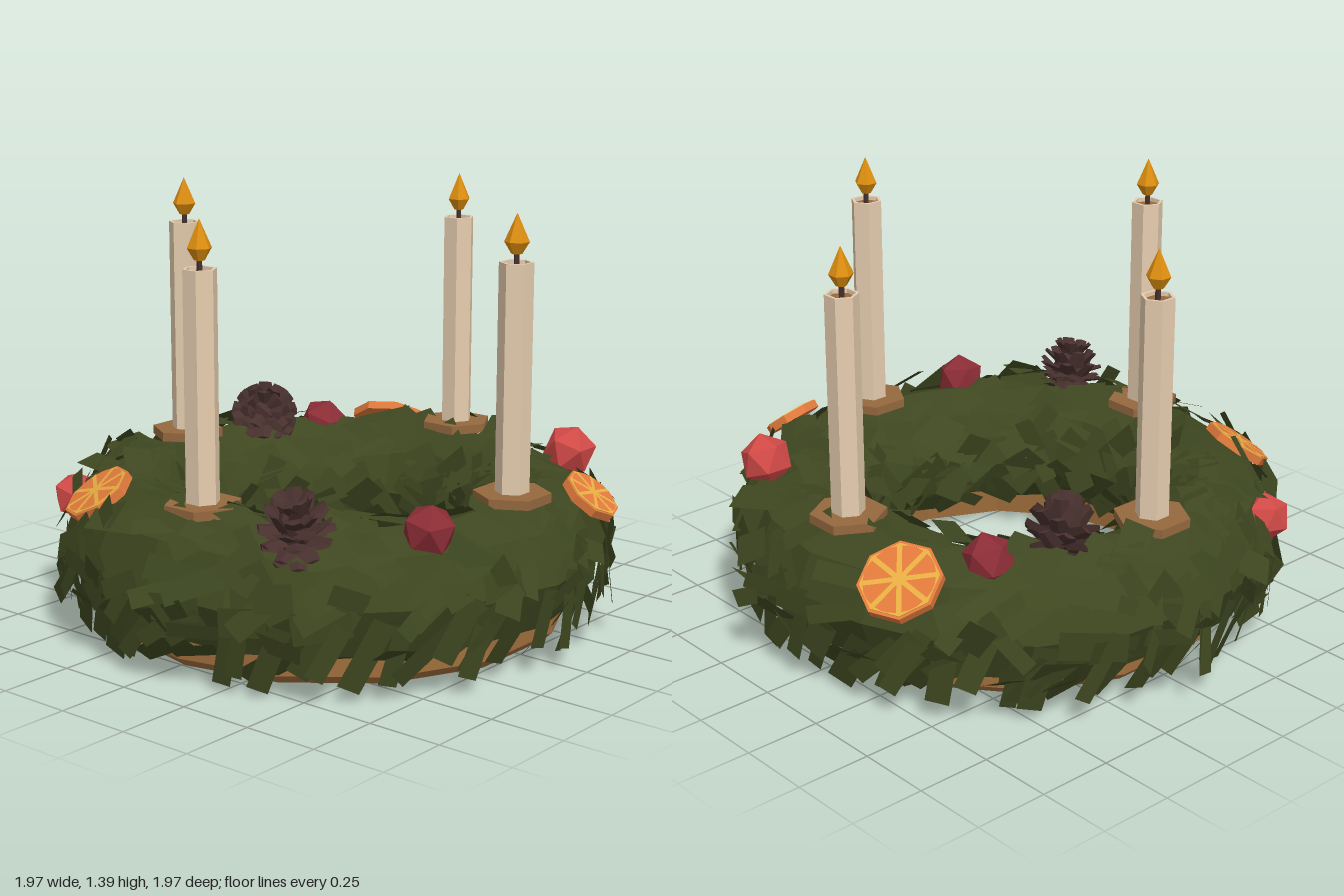
import * as THREE from 'three';
import { mergeGeometries } from 'three/addons/utils/BufferGeometryUtils.js';

const mat = (name, color, side = THREE.FrontSide) =>
  new THREE.MeshStandardMaterial({ name, color, side, flatShading: true });

const RING = { x: 0.015, y: 0.265, z: 0.025, R: 0.68, r: 0.212 };
const UP = new THREE.Vector3(0, 1, 0);

// Placement of the decorations
const CANDLES = [[0.70, -0.01], [0.045, 0.69], [-0.65, 0.03], [0.0, -0.66]];
const BRIGHT_BERRIES = [[0.52, 0.495, -0.6, 0.09], [-0.697, 0.36, 0.518, 0.082]];
const DARK_BERRIES = [[-0.47, 0.455, -0.49, 0.09], [0.683, 0.472, 0.39, 0.087]];
const SLICES = [
  { pos: [-0.372, 0.435, -0.755], normal: [-0.26, 0.8, -0.52], r: 0.135 },
  { pos: [-0.385, 0.462, 0.715], normal: [-0.25, 0.83, 0.5], r: 0.118 },
  { pos: [0.82, 0.46, -0.27], normal: [0.58, 0.78, -0.15], r: 0.1 },
];
const PINE_CONES = [
  { pos: [-0.55, 0.515, -0.26], axis: [0.5, 0.35, 0.6] },
  { pos: [0.425, 0.5, 0.695], axis: [0.1, 1, 0.25] },
];

// Small seeded random generator
function seeded(seed) {
  return () => {
    seed = (seed * 16807) % 2147483647;
    return seed / 2147483647;
  };
}

export function createModel() {
  const model = new THREE.Group();
  model.name = 'candleWreath';

  const green = mat('fir green', 0x3e4720, THREE.DoubleSide);
  const baseWood = mat('base wood', 0xa06e3c);
  const wood = mat('plate wood', 0x95683f);
  const wax = mat('candle wax', 0xe6cdaf);
  const flameGold = mat('flame', 0xdf8f10);
  const brightRed = mat('bright berry red', 0xd24a47);
  const darkRed = mat('dark berry red', 0x8c2d36);
  const coneBrown = mat('pine cone brown', 0x47302d, THREE.DoubleSide);
  const orange = mat('orange peel', 0xe27a3c);
  const pith = mat('orange pith', 0xeab043);

  const add = (parent, name, geometry, material) => {
    const mesh = new THREE.Mesh(geometry, material);
    mesh.name = name;
    parent.add(mesh);
    return mesh;
  };
  const lathe = (pts, sides) =>
    new THREE.LatheGeometry(pts.map(([x, y]) => new THREE.Vector2(x, y)), sides);

  // Wooden base ring
  const base = add(model, 'baseRing', lathe([
    [0.59, 0], [0.735, 0], [0.765, 0.03], [0.765, 0.13], [0.58, 0.13], [0.59, 0],
  ], 14), baseWood);
  base.position.set(0.03, 0, 0.03);

  // Faceted core of the wreath
  const core = new THREE.TorusGeometry(RING.R, RING.r, 8, 20);
  core.rotateX(Math.PI / 2);
  const p = core.attributes.position;
  for (let i = 0; i < p.count; i++) {
    const x = p.getX(i), y = p.getY(i), z = p.getZ(i);
    p.setY(i, y + 0.008 * Math.sin(13 * x + 9 * z));
  }
  add(model, 'wreathCore', core, green).position.set(RING.x, RING.y, RING.z);

  // Spots on the wreath that leaves must not cover: position and radius
  const keepClear = [
    ...CANDLES.map(([x, z]) => [new THREE.Vector3(x, 0.5, z), 0.14]),
    ...[...BRIGHT_BERRIES, ...DARK_BERRIES].map(([x, y, z]) => [new THREE.Vector3(x, y, z), 0.13]),
    ...SLICES.map(({ pos, r }) => [new THREE.Vector3(...pos), r + 0.04]),
    ...PINE_CONES.map(({ pos }) => [new THREE.Vector3(...pos), 0.13]),
  ];

  // Fir leaves: flat slips laid over the ring (u around the ring, v around the tube)
  const rand = seeded(4217);
  const leaves = [];
  function addLeaf(u, v, turn, lift, length, width) {
    const out = new THREE.Vector3(Math.cos(u), 0, Math.sin(u));
    const n = out.clone().multiplyScalar(Math.cos(v)).addScaledVector(UP, Math.sin(v));
    const t = new THREE.Vector3(-Math.sin(u), 0, Math.cos(u));
    const b = new THREE.Vector3().crossVectors(n, t);
    const d = t.multiplyScalar(Math.cos(turn)).addScaledVector(b, Math.sin(turn))
      .addScaledVector(n, lift).normalize();
    const side = new THREE.Vector3().crossVectors(d, n).normalize();
    const face = new THREE.Vector3().crossVectors(side, d);
    const pos = out.clone().multiplyScalar(RING.R).addScaledVector(n, RING.r + 0.01);
    pos.add(new THREE.Vector3(RING.x, RING.y, RING.z));
    const middle = pos.clone().addScaledVector(d, length * 0.25);
    if (keepClear.some(([c, r]) => c.distanceTo(middle) < r)) return;
    const g = new THREE.PlaneGeometry(width, length).translate(0, length * 0.25, 0);
    leaves.push(g.applyMatrix4(new THREE.Matrix4().makeBasis(side, d, face).setPosition(pos)));
  }
  const count = 560;
  for (let i = 0; i < count; i++) {
    const u = (i / count) * Math.PI * 2 + rand() * 0.1;
    const v = -0.9 + rand() * (Math.PI + 1.6);
    const turn = (rand() - 0.5) * 2.2 + (rand() < 0.25 ? Math.PI : 0);
    addLeaf(u, v, turn, rand() * 0.26, 0.13 + rand() * 0.09, 0.05 + rand() * 0.055);
  }
  // Leaves hanging down round the outside
  for (let i = 0; i < 56; i++) {
    addLeaf((i / 56) * Math.PI * 2 + rand() * 0.1, -0.5 + rand() * 0.4, 0.6 + rand() * 0.9,
      0.1 + rand() * 0.22, 0.17 + rand() * 0.08, 0.05 + rand() * 0.04);
  }
  // A few sprigs that stick out: angle round the ring, tube angle, turn, length
  [
    [3.14, -0.2, 0.3, 0.23], [3.35, -0.1, 0.5, 0.18], [2.9, 0, -0.3, 0.16],
    [4.71, 0.1, -0.3, 0.21], [4.9, -0.2, 0.3, 0.16], [0.2, 0.3, 0.4, 0.15],
    [6.1, -0.3, 0.2, 0.13], [1.5, 0.1, 0.4, 0.12], [0.8, 0.2, -0.4, 0.17],
  ].forEach(([u, v, turn, length]) => addLeaf(u, v, turn, 0.9, length, 0.06));
  add(model, 'firLeaves', mergeGeometries(leaves), green);

  // Candles on hexagonal wooden plates
  CANDLES.forEach(([x, z], i) => {
    const candle = new THREE.Group();
    candle.name = 'candle' + (i + 1);
    candle.position.set(x, 0, z);
    candle.rotation.y = i % 2 ? Math.PI / 2 : 0;
    add(candle, 'candlePlate', new THREE.CylinderGeometry(0.123, 0.123, 0.03, 6), wood)
      .position.y = 0.495;
    add(candle, 'candleBody', lathe([
      [0.054, 0.5], [0.054, 1.23], [0.044, 1.23], [0.044, 1.21],
    ], 6), wax);
    add(candle, 'candleTop', new THREE.CylinderGeometry(0.045, 0.045, 0.006, 6), wood)
      .position.y = 1.214;
    add(candle, 'wick', new THREE.CylinderGeometry(0.009, 0.009, 0.06, 5), coneBrown)
      .position.y = 1.24;
    add(candle, 'flame', lathe([[0, 1.252], [0.017, 1.255], [0.039, 1.292], [0, 1.38]], 6), flameGold);
    model.add(candle);
  });

  // Berries in two reds
  const addBerry = (name, material) => ([x, y, z, r], i) => {
    const berry = add(model, name + (i + 1), new THREE.IcosahedronGeometry(r, 0), material);
    berry.position.set(x, y, z);
    berry.rotation.set(0.4 * i, 0.9 * i, 0.2);
  };
  BRIGHT_BERRIES.forEach(addBerry('brightBerry', brightRed));
  DARK_BERRIES.forEach(addBerry('darkBerry', darkRed));

  // Orange slices with wedges
  SLICES.forEach(({ pos, normal, r }, i) => {
    const slice = new THREE.Group();
    slice.name = 'orangeSlice' + (i + 1);
    slice.position.set(...pos);
    slice.quaternion.setFromUnitVectors(UP, new THREE.Vector3(...normal).normalize());
    add(slice, 'peel', new THREE.CylinderGeometry(r, r, 0.028, 8), orange);
    add(slice, 'pith', new THREE.CylinderGeometry(r * 0.93, r * 0.93, 0.004, 8), pith)
      .position.y = 0.015;
    const wedges = [];
    for (let k = 0; k < 8; k++) {
      const a = (k * Math.PI) / 4, mid = a + Math.PI / 8;
      wedges.push(new THREE.CircleGeometry(r * 0.69, 1, a, Math.PI / 4)
        .translate(Math.cos(mid) * r * 0.16, Math.sin(mid) * r * 0.16, 0)
        .rotateX(-Math.PI / 2));
    }
    add(slice, 'wedges', mergeGeometries(wedges), orange).position.y = 0.02;
    model.add(slice);
  });

  // Pine cones: a core with staggered rows of blunt scales
  PINE_CONES.forEach(({ pos, axis }, i) => {
    const cone = new THREE.Group();
    cone.name = 'pineCone' + (i + 1);
    cone.position.set(...pos);
    cone.quaternion.setFromUnitVectors(UP, new THREE.Vector3(...axis).normalize());
    add(cone, 'coneCore', new THREE.IcosahedronGeometry(0.068, 0).scale(1, 1.45, 1), coneBrown);
    const scales = [];
    for (let row = 0; row < 6; row++) {
      const h = -0.085 + row * 0.033;
      const reach = 0.086 * Math.sin(0.75 + row * 0.38);
      const tilt = -1.75 + row * 0.24;
      for (let k = 0; k < 7; k++) {
        scales.push(new THREE.CylinderGeometry(0.022, 0.036, 0.065, 4).scale(1, 1, 0.3)
          .rotateY(Math.PI / 2).rotateZ(tilt + (rand() - 0.5) * 0.7).translate(reach, h, 0)
          .rotateY(((k + (row % 2) * 0.5) * Math.PI * 2) / 7));
      }
    }
    add(cone, 'coneScales', mergeGeometries(scales), coneBrown);
    model.add(cone);
  });

  return model;
}
